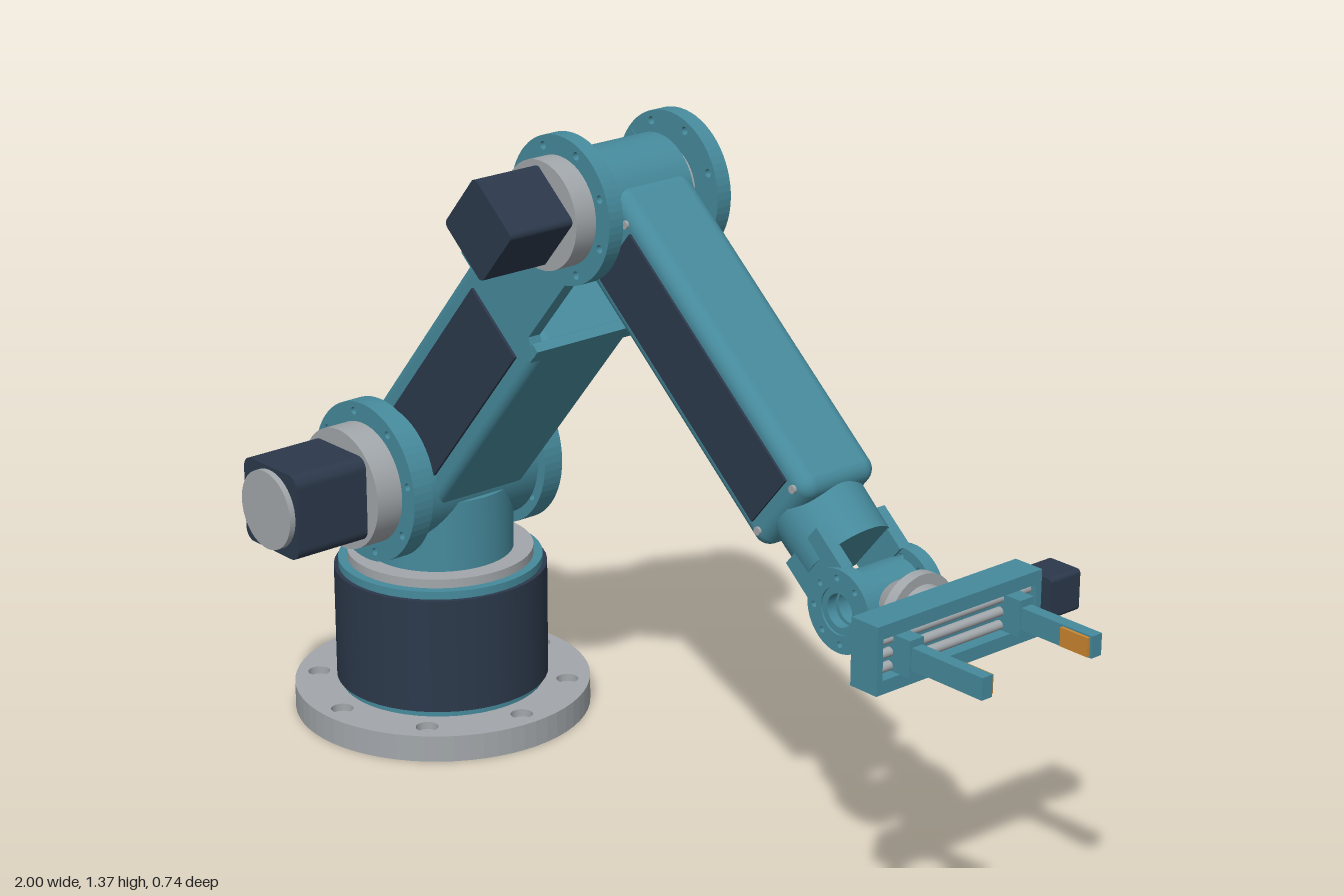
import * as THREE from 'three';
import { RoundedBoxGeometry } from 'three/addons/geometries/RoundedBoxGeometry.js';

const mat = (name, color) => Object.assign(new THREE.MeshStandardMaterial({ color }), { name });

export function createModel() {
  const teal = mat('teal paint', 0x468a9c);
  const navy = mat('dark navy', 0x2c394b);
  const steel = mat('brushed steel', 0xa2a7ab);
  const orange = mat('orange pad', 0xc98530);

  const root = new THREE.Group();
  root.name = 'robotArm';

  const add = (parent, name, geo, material, x = 0, y = 0, z = 0) => {
    const m = new THREE.Mesh(geo, material);
    m.name = name;
    m.position.set(x, y, z);
    parent.add(m);
    return m;
  };
  const group = (parent, name, x, y, z, angle = 0) => {
    const g = new THREE.Group();
    g.name = name;
    g.position.set(x, y, z);
    g.rotation.z = angle;
    parent.add(g);
    return g;
  };
  const box = (w, h, d) => new THREE.BoxGeometry(w, h, d);
  // cylinder along y, x or z
  const cyl = (r, len, axis = 'y', r2 = r) => {
    const g = new THREE.CylinderGeometry(r2, r, len, 48);
    if (axis === 'z') g.rotateX(Math.PI / 2);
    if (axis === 'x') g.rotateZ(-Math.PI / 2);
    return g;
  };
  const hole = (shape, x, y, r) => {
    const p = new THREE.Path();
    p.absarc(x, y, r, 0, Math.PI * 2, true);
    shape.holes.push(p);
  };
  // drilled disc along z, centred on its thickness
  const disc = (r, depth, bore = 0, bolts = 0, boltCircle = 0, boltR = 0.008, start = 0) => {
    const s = new THREE.Shape();
    s.absarc(0, 0, r, 0, Math.PI * 2, false);
    if (bore) hole(s, 0, 0, bore);
    for (let i = 0; i < bolts; i++) {
      const a = start + (i / bolts) * Math.PI * 2;
      hole(s, Math.cos(a) * boltCircle, Math.sin(a) * boltCircle, boltR);
    }
    const g = new THREE.ExtrudeGeometry(s, { depth, bevelEnabled: false, curveSegments: 32 });
    return g.translate(0, 0, -depth / 2);
  };
  // bar of rounded rectangular section; depth along z
  const roundedPrism = (w, h, depth, r) => {
    const s = new THREE.Shape(), x = w / 2, y = h / 2;
    s.absarc(x - r, y - r, r, 0, Math.PI / 2, false);
    s.absarc(-x + r, y - r, r, Math.PI / 2, Math.PI, false);
    s.absarc(-x + r, -y + r, r, Math.PI, Math.PI * 1.5, false);
    s.absarc(x - r, -y + r, r, Math.PI * 1.5, Math.PI * 2, false);
    return new THREE.ExtrudeGeometry(s, { depth, bevelEnabled: false, curveSegments: 8 }).translate(0, 0, -depth / 2);
  };
  const zc = -0.06; // centre plane of the arm

  // ---- base ----
  const base = group(root, 'base', -0.692, 0, zc);
  add(base, 'baseFlangeLower', disc(0.309, 0.04, 0.056, 8, 0.262, 0.013).rotateX(-Math.PI / 2), steel, 0, 0.02);
  add(base, 'baseFlangeUpper', disc(0.309, 0.016, 0.056, 8, 0.262, 0.023).rotateX(-Math.PI / 2), steel, 0, 0.048);
  [
    ['baseSeat', 0.212, 0.055, 0.07, teal], ['baseHousing', 0.221, 0.07, 0.315, navy],
    ['housingLid', 0.212, 0.315, 0.332, teal], ['turntableRing', 0.193, 0.332, 0.351, steel],
    ['turretColumn', 0.152, 0.351, 0.5, teal],
  ].forEach(([n, r, y0, y1, m]) => add(base, n, cyl(r, y1 - y0), m, 0, (y0 + y1) / 2));

  // ---- shoulder ----
  const shoulder = group(root, 'shoulder', -0.692, 0.537, zc);
  add(shoulder, 'shoulderDrum', cyl(0.145, 0.29, 'z'), teal);
  add(shoulder, 'shoulderFlangeFront', disc(0.167, 0.046, 0.05, 8, 0.147, 0.008, 0.2), teal, 0, 0, 0.167);
  add(shoulder, 'shoulderFlangeBack', disc(0.167, 0.046, 0.085, 8, 0.147, 0.008, 0.2), teal, 0, 0, -0.168);
  add(shoulder, 'shoulderBearing', disc(0.085, 0.04, 0.062), steel, 0, 0, -0.166);
  add(shoulder, 'shoulderBearingInner', disc(0.058, 0.035, 0.035), steel, 0, 0, -0.164);
  add(shoulder, 'shoulderMotorFlange', cyl(0.126, 0.06, 'z'), steel, 0, 0, 0.22);
  add(shoulder, 'shoulderMotor', roundedPrism(0.178, 0.178, 0.17, 0.025), navy, 0, 0, 0.335);
  add(shoulder, 'shoulderMotorCap', cyl(0.082, 0.014, 'z'), steel, 0, 0, 0.426);

  // ---- upper arm, local x runs from shoulder to elbow ----
  const upper = group(root, 'upperArm', -0.692, 0.537, zc, Math.atan2(0.696, 0.577));
  add(upper, 'upperArmBeam', new RoundedBoxGeometry(0.62, 0.254, 0.23, 3, 0.02), teal, 0.31, 0, 0);
  const forkSide = new THREE.Shape();
  [[0.588, -0.133], [0.605, -0.133], [0.625, -0.098], [0.904, -0.1], [0.904, 0.135], [0.588, 0.135]]
    .forEach(([x, y], i) => (i ? forkSide.lineTo(x, y) : forkSide.moveTo(x, y)));
  for (const s of [1, -1]) {
    add(upper, 'upperArmPanel', box(0.42, 0.17, 0.008), navy, 0.32, 0, s * 0.117);
    add(upper, 'elbowFork', new THREE.ExtrudeGeometry(forkSide, { depth: 0.028, bevelEnabled: false }),
      teal, 0, 0, s * 0.129 - 0.014);
  }
  add(upper, 'forkTopWall', box(0.2, 0.02, 0.284), teal, 0.688, 0.125, 0);
  add(upper, 'forkBottomLip', box(0.035, 0.02, 0.284), teal, 0.6055, -0.123, 0);

  // ---- elbow and forearm, local x runs from elbow to wrist ----
  const fore = group(root, 'forearm', -0.115, 1.231, zc, -Math.atan2(0.594, 0.705));
  for (const s of [1, -1]) {
    add(fore, 'elbowFlange', disc(0.143, 0.033, s > 0 ? 0 : 0.074, 8, 0.124, 0.008, 0.3), teal, 0, 0, s * 0.1325);
    add(fore, 'elbowSpacer', cyl(0.08, 0.026, 'z'), steel, 0, 0, s * 0.104);
    add(fore, 'forearmPanel', box(0.56, 0.136, 0.008), navy, 0.4, 0, s * 0.092);
    // screws at the panel corners
    for (const x of [0.1, 0.7]) for (const y of [-0.07, 0.07])
      add(fore, 'panelScrew', cyl(0.008, 0.008, 'z'), steel, x, y, s * 0.092);
  }
  add(fore, 'elbowBearing', disc(0.074, 0.03, 0.056), steel, 0, 0, -0.131);
  add(fore, 'elbowBearingInner', disc(0.052, 0.028, 0.025), steel, 0, 0, -0.13);
  add(fore, 'elbowDrum', cyl(0.105, 0.182, 'z'), teal);
  add(fore, 'elbowMotorFlange', cyl(0.105, 0.05, 'z'), steel, 0, 0, 0.171);
  add(fore, 'elbowMotor', roundedPrism(0.14, 0.14, 0.15, 0.012), navy, 0, 0, 0.267);
  add(fore, 'forearmBeam', new RoundedBoxGeometry(0.7, 0.205, 0.182, 4, 0.03), teal, 0.38, 0, 0);
  add(fore, 'forearmNeck', cyl(0.09, 0.11, 'x', 0.088), teal, 0.77, 0, 0);

  // ---- wrist ----
  for (const s of [1, -1]) {
    add(fore, 'wristForkArm', box(0.09, 0.12, 0.026), teal, 0.825, 0, s * 0.072);
    add(fore, 'wristForkEar', disc(0.08, 0.028, 0.045, 8, 0.063, 0.006), teal, 0.922, 0, s * 0.08);
    add(fore, 'wristBearing', disc(0.047, 0.02, 0.032), teal, 0.922, 0, s * 0.08);
  }
  const hand = group(root, 'hand', 0.59, 0.637, zc);
  add(hand, 'wristHub', disc(0.062, 0.125, 0.032), teal);
  add(hand, 'wristCone', cyl(0.05, 0.04, 'x', 0.075), steel, 0.07);
  add(hand, 'wristDisc', cyl(0.082, 0.022, 'x'), steel, 0.105);
  add(hand, 'wristCollar', cyl(0.062, 0.03, 'x'), steel, 0.13);

  // ---- gripper ----
  const gripper = group(hand, 'gripper', 0.18, 0.003, 0);
  add(gripper, 'gripperBackPlate', box(0.025, 0.13, 0.408), teal, -0.02);
  for (const s of [1, -1]) {
    add(gripper, 'gripperRail', box(0.065, 0.026, 0.408), teal, 0, s * 0.052, 0);
    add(gripper, 'gripperEndPlate', box(0.065, 0.13, 0.014), teal, 0, 0, s * 0.197);
    add(gripper, 'fingerCarriage', box(0.062, 0.07, 0.034), teal, 0.03, 0, s * 0.137);
    add(gripper, 'finger', box(0.18, 0.042, 0.025), teal, 0.14, 0, s * 0.136);
    add(gripper, 'fingerPad', box(0.065, 0.036, 0.008), orange, 0.193, 0, s * 0.121);
  }
  for (const y of [-0.026, 0, 0.026])
    add(gripper, 'guideRod', cyl(0.009, 0.39, 'z'), steel, 0.012, y, 0);
  add(gripper, 'gripperMotorShaft', cyl(0.014, 0.03, 'z'), steel, 0, 0, -0.212);
  add(gripper, 'gripperMotor', roundedPrism(0.08, 0.08, 0.077, 0.008), navy, -0.003, 0, -0.262);

  return root;
}
